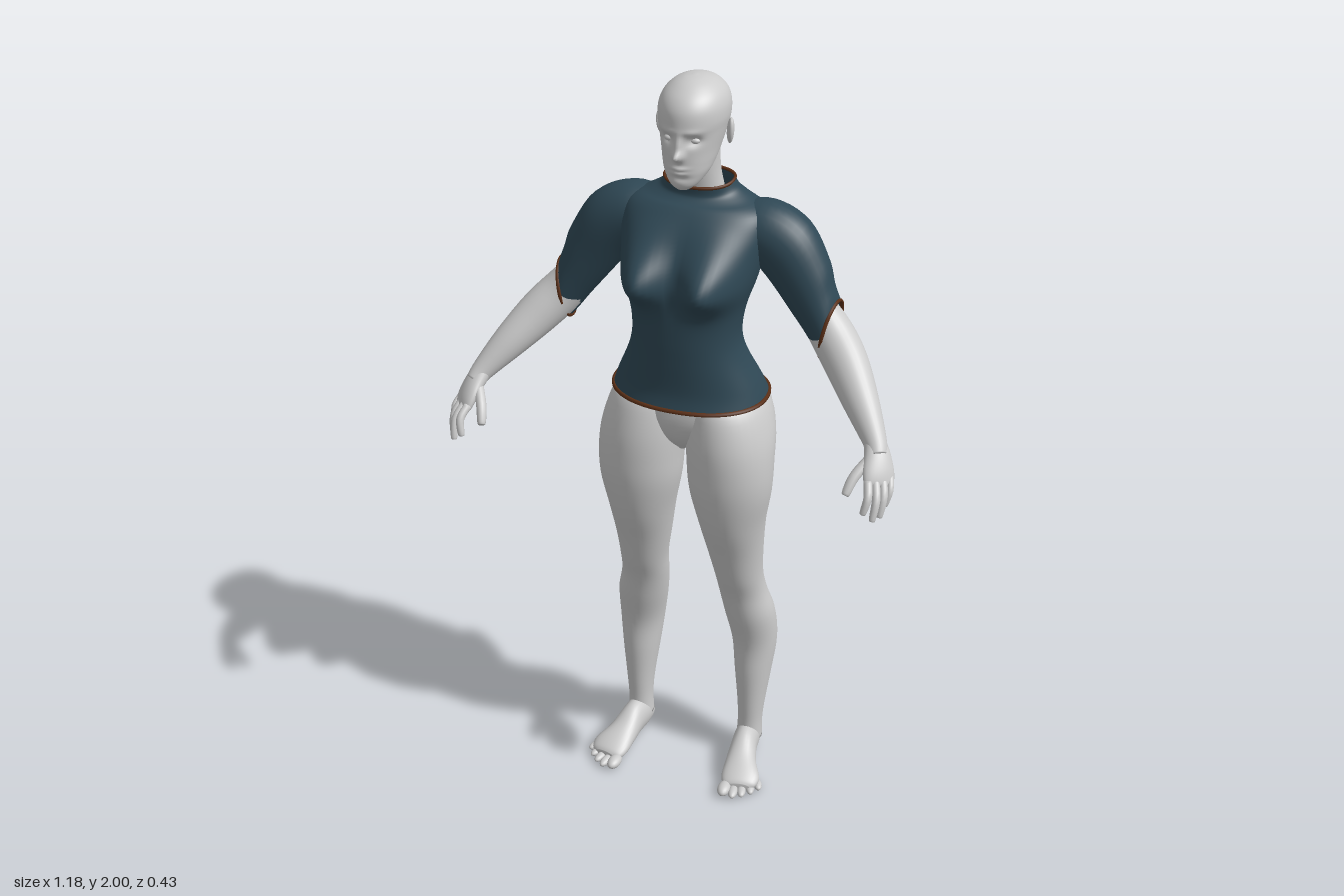
import * as THREE from 'three';

const skin = new THREE.MeshStandardMaterial({ color: 0xcbcbcb });
skin.name = 'pale grey skin';
const cloth = new THREE.MeshStandardMaterial({ color: 0x2f4855, side: THREE.DoubleSide });
cloth.name = 'slate blue cloth';
const edging = new THREE.MeshStandardMaterial({ color: 0x5c3017 });
edging.name = 'brown edging';

const UP = [0, 1, 0];
const bump = (dx, dy, sx, sy) => Math.exp(-((dx / sx) ** 2) - (dy / sy) ** 2);
const spow = (c, e) => Math.sign(c) * Math.abs(c) ** (2 / e);

// Catmull-Rom blend of two neighbouring rings, component by component
function ringAt(rings, f) {
  const i = Math.min(Math.floor(f), rings.length - 2), t = f - i;
  const r = (k) => rings[Math.max(0, Math.min(rings.length - 1, k))];
  return rings[0].map((_, k) => {
    const [a, b, c, d] = [r(i - 1)[k], r(i)[k], r(i + 1)[k], r(i + 2)[k]];
    return b + 0.5 * t * (c - a + t * (2 * a - 5 * b + 4 * c - d + t * (3 * (b - c) + d - a)));
  });
}

// Skin over rings [x, y, z, radiusU, radiusV, (tangent)]; side -1 mirrors it
function loft(rings, { t = null, ref = [1, 0, 0], e = 2, segs = 28, steps = 5, side = 1, caps = true, deform } = {}) {
  const rows = (rings.length - 1) * steps + 1, pos = [], idx = [], loops = [];
  const tri = (a, b, c) => (side > 0 ? idx.push(a, b, c) : idx.push(a, c, b));
  for (let j = 0; j < rows; j++) {
    const f = j / steps, r = ringAt(rings, f), c = new THREE.Vector3(...r);
    const a = ringAt(rings, Math.max(0, f - 0.05)), b = ringAt(rings, Math.min(rings.length - 1, f + 0.05));
    const dir = r.length > 5 ? r.slice(5) : t || [0, 1, 2].map((k) => b[k] - a[k]);
    const tan = new THREE.Vector3(...dir).normalize();
    const u = new THREE.Vector3(...ref);
    u.addScaledVector(tan, -u.dot(tan)).normalize();
    const v = u.clone().cross(tan), loop = [];
    for (let i = 0; i < segs; i++) {
      const q = (i / segs) * Math.PI * 2;
      const p = c.clone().addScaledVector(u, r[3] * spow(Math.cos(q), e)).addScaledVector(v, r[4] * spow(Math.sin(q), e));
      if (deform) deform(p, r);
      p.x *= side;
      loop.push(p);
      pos.push(p.x, p.y, p.z);
      if (j < rows - 1) {
        const k = j * segs + i, n = j * segs + ((i + 1) % segs);
        tri(k, k + segs, n);
        tri(n, k + segs, n + segs);
      }
    }
    loops.push(loop);
  }
  if (caps) {
    [0, rows - 1].forEach((row) => {
      const m = new THREE.Vector3(), pole = pos.length / 3;
      loops[row].forEach((p) => m.addScaledVector(p, 1 / segs));
      pos.push(m.x, m.y, m.z);
      for (let i = 0; i < segs; i++) {
        const k = row * segs + i, n = row * segs + ((i + 1) % segs);
        if (row) tri(k, pole, n); else tri(k, n, pole);
      }
    });
  }
  const g = new THREE.BufferGeometry();
  g.setAttribute('position', new THREE.Float32BufferAttribute(pos, 3));
  g.setIndex(idx);
  g.computeVertexNormals();
  return { g, first: loops[0], last: loops[rows - 1] };
}

export function createModel() {
  const model = new THREE.Group();
  const add = (name, g, mat) => {
    const m = new THREE.Mesh(g, mat);
    m.name = name;
    model.add(m);
    return m;
  };
  const ball = (name, p, r, rot = [0, 0, 0]) => {
    const m = add(name, new THREE.SphereGeometry(1, 20, 14), skin);
    m.position.set(...p);
    m.scale.set(...r);
    m.rotation.set(...rot);
  };
  const trim = (name, loop, r) =>
    add(name, new THREE.TubeGeometry(new THREE.CatmullRomCurve3(loop, true), 72, r, 6, true), edging);
  // Upright ring from half width, front and back
  const slab = ([y, w, f, b]) => [0, y, (f + b) / 2, w, (f - b) / 2];

  // Head with brow, eye sockets, nose, lips
  const head = [[1.744, 0.016, 0.018, -0.012], [1.758, 0.036, 0.029, -0.045], [1.785, 0.055, 0.032, -0.09],
    [1.81, 0.064, 0.033, -0.125], [1.84, 0.071, 0.033, -0.155], [1.88, 0.08, 0.033, -0.18], [1.91, 0.085, 0.034, -0.19],
    [1.94, 0.083, 0.028, -0.189], [1.965, 0.072, 0.011, -0.176], [1.985, 0.051, -0.017, -0.149],
    [1.996, 0.027, -0.045, -0.115], [2, 0.004, -0.075, -0.083]].map(slab);
  add('head', loft(head, {
    t: UP, segs: 96, steps: 8,
    deform: (p) => {
      if (p.z < -0.03) return;
      const x = Math.abs(p.x);
      p.z += 0.024 * bump(x, p.y - 1.836, 0.012, 0.012) + 0.013 * bump(x, p.y - 1.86, 0.01, 0.025)
        - 0.013 * bump(x - 0.033, p.y - 1.87, 0.017, 0.012) + 0.004 * bump(x - 0.03, p.y - 1.893, 0.025, 0.008)
        + 0.006 * bump(x, p.y - 1.803, 0.02, 0.005) + 0.006 * bump(x, p.y - 1.791, 0.017, 0.005)
        - 0.004 * bump(x, p.y - 1.777, 0.025, 0.007);
    },
  }).g, skin);
  add('neck', loft([[0, 1.64, -0.125, 0.078, 0.055], [0, 1.7, -0.115, 0.064, 0.055],
    [0, 1.76, -0.103, 0.056, 0.055], [0, 1.83, -0.095, 0.056, 0.06]], { t: UP }).g, skin);

  // Shirt body with bust, spine groove and a collar that dips in front
  const shirt = loft([[1.177, 0.202, 0.092, -0.208], [1.22, 0.186, 0.083, -0.185], [1.3, 0.151, 0.083, -0.15],
    [1.36, 0.139, 0.083, -0.14], [1.43, 0.147, 0.08, -0.15], [1.5, 0.168, 0.07, -0.175], [1.56, 0.18, 0.055, -0.193],
    [1.62, 0.188, 0.025, -0.203], [1.665, 0.178, -0.01, -0.2], [1.692, 0.128, -0.04, -0.192],
    [1.71, 0.1, -0.052, -0.185], [1.732, 0.088, -0.052, -0.18]].map(slab), {
    t: UP, e: 2.2, segs: 72, steps: 6, caps: false,
    deform: (p) => {
      const x = Math.abs(p.x), dy = p.y - 1.515;
      if (p.z > -0.06) p.z += 0.082 * bump(x - 0.088, dy, 0.062, dy > 0 ? 0.085 : 0.055) * Math.min(1, (p.z + 0.06) / 0.06);
      else p.z += 0.014 * bump(x, p.y - 1.42, 0.03, 0.16);
      if (p.y > 1.68) p.y -= 0.15 * Math.max(0, p.z + 0.12) * Math.min(1, (p.y - 1.68) / 0.03);
    },
  });
  add('shirt body', shirt.g, cloth);
  trim('shirt hem', shirt.first, 0.006);
  trim('collar edge', shirt.last, 0.004);

  // Pelvis bridging the legs
  add('pelvis', loft([[0, 1.025, -0.03, 0.015, 0.045], [0, 1.07, -0.035, 0.1, 0.085],
    [0, 1.13, -0.05, 0.18, 0.115], [0, 1.2, -0.055, 0.17, 0.115]], { t: UP }).g, skin);

  for (const side of [1, -1]) {
    const word = side > 0 ? 'left ' : 'right ';

    // Ear and eye
    ball(word + 'ear', [side * 0.087, 1.868, -0.088], [0.009, 0.034, 0.019], [0.2, side * 0.35, -side * 0.12]);
    ball(word + 'eye', [side * 0.032, 1.87, 0.008], [0.013, 0.008, 0.01]);

    // Sleeve, its ring tangents turning level at the cuff
    const sleeve = loft([[0.09, 1.605, -0.122, 0.07, 0.07, 1, 0, 0], [0.165, 1.61, -0.12, 0.08, 0.08, 0.95, -0.25, 0],
      [0.228, 1.575, -0.115, 0.08, 0.087, 0.8, -0.6, 0], [0.28, 1.505, -0.105, 0.07, 0.077, 0.68, -0.73, 0],
      [0.322, 1.435, -0.096, 0.063, 0.071, 0.88, -0.47, 0], [0.354, 1.383, -0.091, 0.061, 0.079, 1, -0.18, 0.1]],
    { ref: [0, 0, 1], side, caps: false });
    add(word + 'sleeve', sleeve.g, cloth);
    trim(word + 'cuff', sleeve.last, 0.005);

    // Forearm and palm
    add(word + 'forearm', loft([[0.29, 1.46, -0.1, 0.045, 0.045], [0.355, 1.38, -0.085, 0.054, 0.056],
      [0.41, 1.322, -0.045, 0.053, 0.056], [0.47, 1.255, 0.018, 0.043, 0.045], [0.522, 1.192, 0.075, 0.03, 0.03],
      [0.538, 1.165, 0.1, 0.026, 0.024]], { ref: [0, 0, 1], side }).g, skin);
    const across = [-0.65, 0, 0.76];
    add(word + 'palm', loft([[0.52, 1.195, 0.072, 0.026, 0.024], [0.537, 1.165, 0.098, 0.035, 0.023],
      [0.548, 1.135, 0.122, 0.042, 0.02], [0.555, 1.11, 0.138, 0.04, 0.015], [0.557, 1.103, 0.143, 0.028, 0.008]],
    { ref: across, side }).g, skin);

    // Fingers from index to little, then thumb
    const digit = (name, a, b, c, r) => add(word + name, loft(
      [[...a, r, r], [...b, r, r], [...c, r * 0.8, r * 0.8], [...c.map((k, i) => k + (c[i] - b[i]) * 0.1), r * 0.35, r * 0.35]],
      { segs: 12, steps: 4, side }).g, skin);
    [[0.535, 1.06, 0.2], [0.558, 1.045, 0.197], [0.57, 1.046, 0.175], [0.576, 1.062, 0.147]].forEach((tip, i) => {
      const s = 0.032 - 0.0215 * i;
      const base = [0.553 + across[0] * s, 1.123, 0.134 + across[2] * s];
      const mid = base.map((k, n) => (k + tip[n]) / 2 + [0.008, 0.006, 0.008][n]);
      digit('finger ' + (i + 1), base, mid, tip, 0.0105 - (i === 3 ? 0.002 : 0));
    });
    digit('thumb', [0.527, 1.165, 0.105], [0.497, 1.128, 0.152], [0.485, 1.093, 0.18], 0.0135);

    // Leg with a rounded buttock
    add(word + 'leg', loft([[0.165, 0.05, -0.095, 0.036, 0.042], [0.166, 0.11, -0.097, 0.034, 0.04],
      [0.167, 0.18, -0.102, 0.039, 0.047], [0.167, 0.28, -0.113, 0.051, 0.06], [0.166, 0.38, -0.122, 0.062, 0.067],
      [0.156, 0.48, -0.104, 0.069, 0.07], [0.142, 0.56, -0.084, 0.065, 0.066], [0.136, 0.63, -0.063, 0.065, 0.07],
      [0.13, 0.72, -0.047, 0.075, 0.082], [0.126, 0.82, -0.029, 0.089, 0.099], [0.124, 0.92, -0.018, 0.108, 0.109],
      [0.122, 1.0, -0.02, 0.113, 0.116], [0.115, 1.08, -0.04, 0.113, 0.132], [0.103, 1.16, -0.055, 0.098, 0.128],
      [0.09, 1.2, -0.055, 0.07, 0.1]], {
      t: UP, side, segs: 36,
      deform: (p, r) => {
        if (p.z < r[2]) p.z -= 0.04 * bump(p.x - 0.1, p.y - 1.1, 0.09, 0.055) * Math.min(1, (r[2] - p.z) / 0.08);
      },
    }).g, skin);

    // Foot with five toes, turned outward
    add(word + 'foot', loft([[0.16, 0.036, -0.137, 0.012, 0.015], [0.161, 0.038, -0.125, 0.028, 0.034],
      [0.164, 0.05, -0.085, 0.035, 0.05], [0.17, 0.052, -0.035, 0.036, 0.051], [0.18, 0.039, 0.02, 0.043, 0.037],
      [0.194, 0.028, 0.065, 0.053, 0.027], [0.199, 0.022, 0.092, 0.046, 0.018], [0.2, 0.02, 0.102, 0.03, 0.01]],
    { t: [0.2, 0, 1], side, deform: (p) => { p.y = Math.max(p.y, 0.002); } }).g, skin);
    [[0.164, 0.118, 0.018], [0.19, 0.117, 0.013], [0.211, 0.105, 0.012], [0.23, 0.087, 0.0115], [0.245, 0.065, 0.0115]]
      .forEach(([x, z, r], i) =>
        ball(word + 'toe ' + (i + 1), [side * x, r * 0.85 + 0.002, z], [r, r * 0.85, 0.03 - i * 0.002], [0, side * (0.08 + i * 0.09), 0]));
  }
  return model;
}
